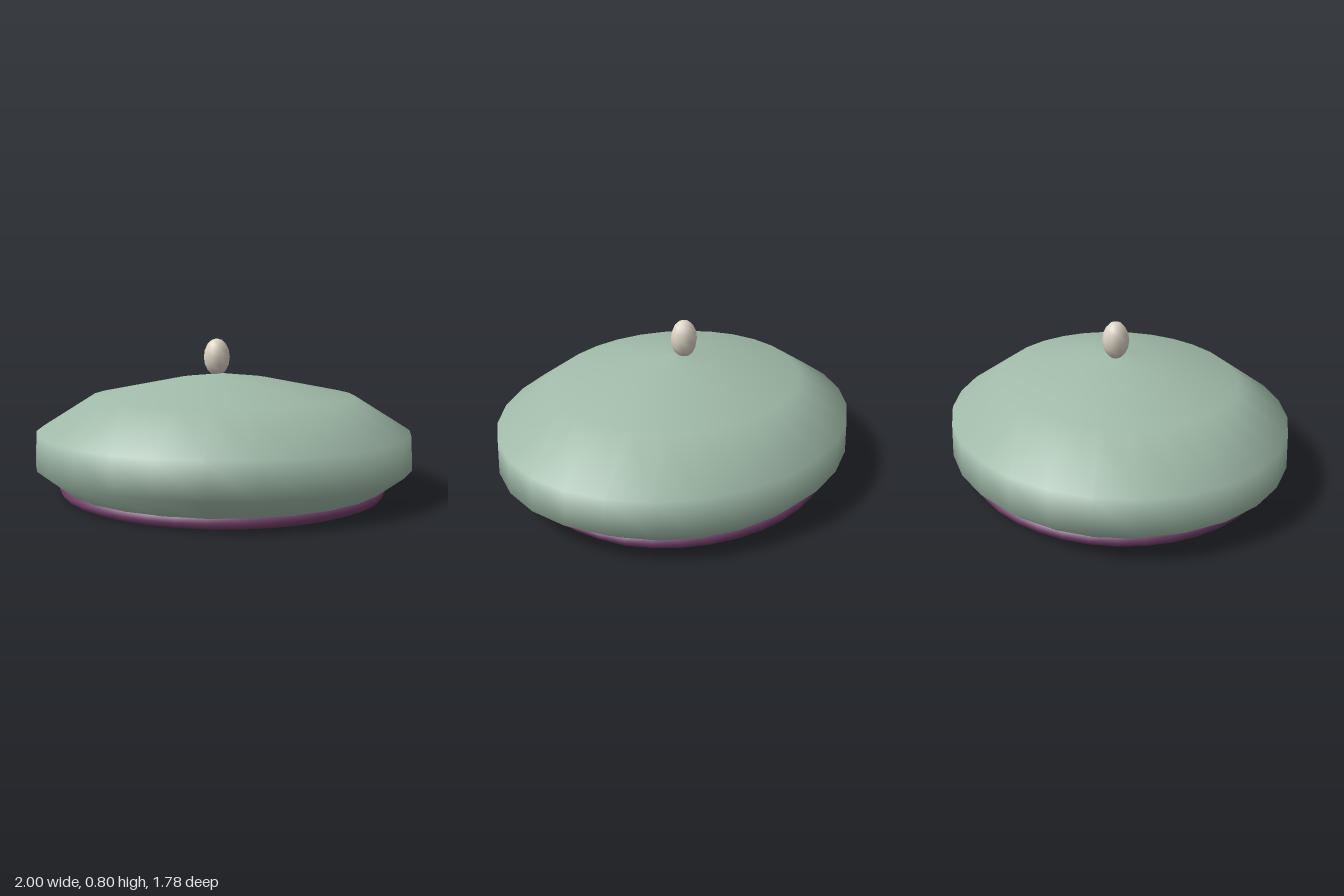
import * as THREE from 'three';

const material = (color) => new THREE.MeshStandardMaterial({ color, roughness: 0.9 });

function part(name, geometry, mat) {
  const mesh = new THREE.Mesh(geometry, mat);
  mesh.name = name;
  return mesh;
}

const BASE_DEPTH = 0.93; // the opening is rounder than the oval crown
const CROWN_DEPTH = 0.89;

// Puffed oval crown, turned from a profile
function crownGeometry() {
  const profile = [[0.85, 0.04], [1, 0.15], [0.99, 0.325], [0.7, 0.505], [0.24, 0.595], [0, 0.62]];
  const geo = new THREE.LatheGeometry(profile.map(([r, y]) => new THREE.Vector2(r, y)), 28);
  geo.scale(1, 1, CROWN_DEPTH);
  const p = geo.attributes.position;
  for (let i = 0; i < p.count; i++) {
    if (p.getY(i) < 0.1) p.setZ(i, p.getZ(i) * BASE_DEPTH / CROWN_DEPTH);
  }
  return geo;
}

// Rolled band, pinched and lifted a little on the left side (+x)
function bandGeometry() {
  const R = 0.843, r = 0.031;
  const geo = new THREE.TorusGeometry(R, r, 8, 40);
  geo.rotateX(Math.PI / 2);
  const p = geo.attributes.position;
  for (let i = 0; i < p.count; i++) {
    const x = p.getX(i), y = p.getY(i), z = p.getZ(i);
    const angle = Math.abs(Math.atan2(z, x));
    const pinch = 1 - THREE.MathUtils.smoothstep(angle, 0.25, 0.42);
    const radius = Math.hypot(x, z);
    const k = (radius + (R - radius) * 0.25 * pinch) / radius;
    p.setXYZ(i, x * k, 0.031 + y * (1 - 0.25 * pinch), z * k * BASE_DEPTH);
  }
  geo.computeVertexNormals();
  // Weld the shading across the two seams of the ring
  const n = geo.attributes.normal, row = 41, sides = 8;
  const share = (a, b) => {
    const v = new THREE.Vector3().fromBufferAttribute(n, a)
      .add(new THREE.Vector3().fromBufferAttribute(n, b)).normalize();
    n.setXYZ(a, v.x, v.y, v.z);
    n.setXYZ(b, v.x, v.y, v.z);
  };
  for (let j = 0; j <= sides; j++) share(j * row, j * row + row - 1);
  for (let i = 0; i < row; i++) share(i, sides * row + i);
  return geo;
}

export function createModel() {
  const model = new THREE.Group();
  model.name = 'beret';
  const cloth = material(0xa0baa8);

  model.add(part('crown', crownGeometry(), cloth));

  // Flat underside closing the crown
  const underside = part('underside', new THREE.CircleGeometry(0.85, 28), cloth);
  underside.rotation.x = Math.PI / 2;
  underside.scale.y = BASE_DEPTH;
  underside.position.y = 0.04;
  model.add(underside);

  model.add(part('band', bandGeometry(), material(0x6e3d66)));

  // Egg-shaped bobble on top
  const bobble = part('bobble', new THREE.SphereGeometry(1, 10, 8), material(0xddd5c6));
  bobble.scale.set(0.07, 0.1, 0.07);
  bobble.position.set(-0.035, 0.704, -0.02);
  model.add(bobble);

  return model;
}
